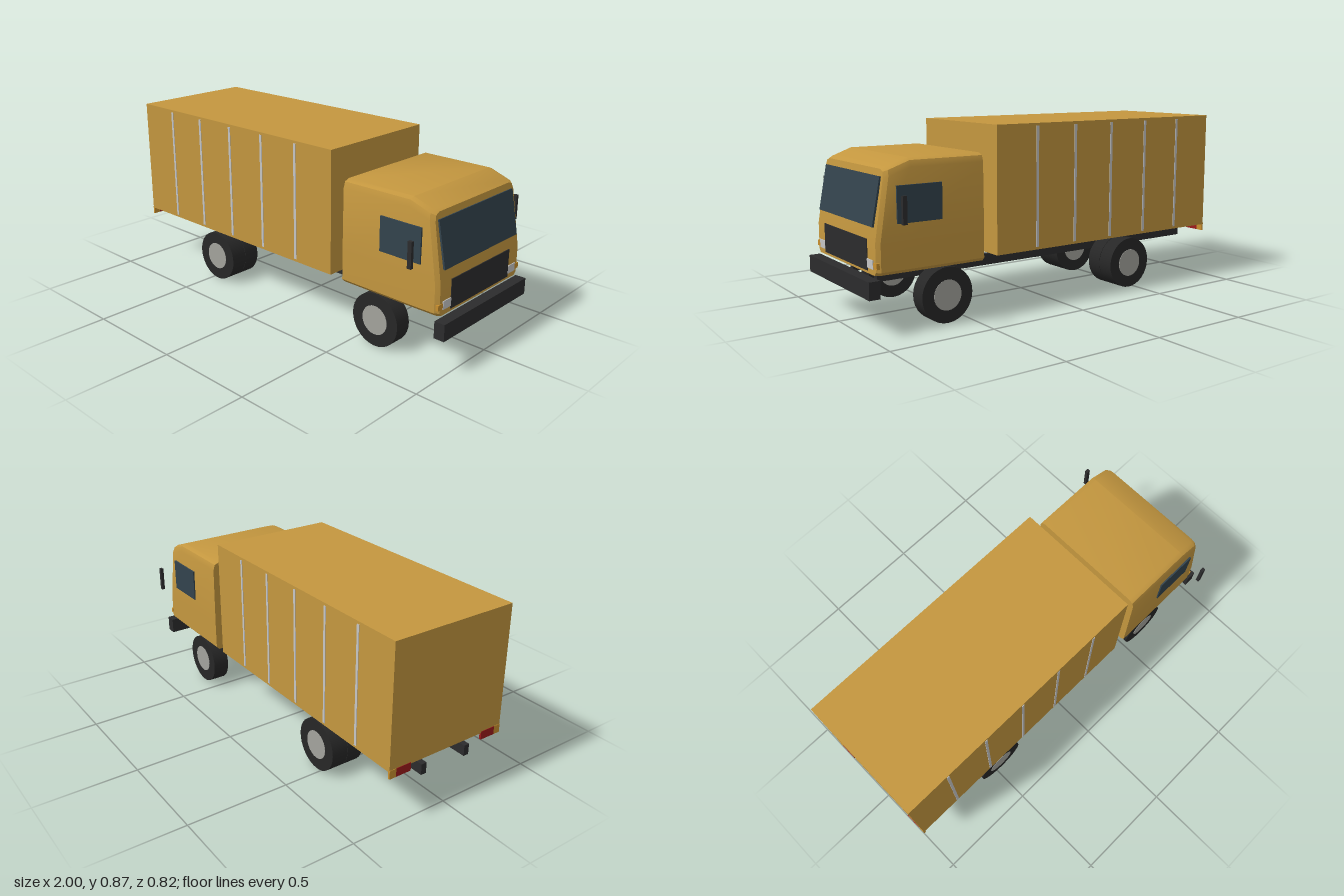
import * as THREE from 'three';
import { toCreasedNormals } from 'three/addons/utils/BufferGeometryUtils.js';

const mat = (name, color) => {
  const m = new THREE.MeshStandardMaterial({ color });
  m.name = name;
  return m;
};

export function createModel() {
  const truck = new THREE.Group();
  truck.name = 'boxTruck';
  const paint = mat('ochrePaint', 0xc4973f);
  const black = mat('blackTrim', 0x2c2c2d);
  const rubber = mat('tyreRubber', 0x272727);
  const glass = mat('darkGlass', 0x33434d);
  const silver = mat('silver', 0xc6c6c6);
  const hubGrey = mat('hubGrey', 0xa3a39d);
  const amber = mat('amberLens', 0xc98f2e);
  const red = mat('redLens', 0x9c1c1c);

  const add = (name, geometry, material, x = 0, y = 0, z = 0) => {
    const mesh = new THREE.Mesh(geometry, material);
    mesh.name = name;
    mesh.position.set(x, y, z);
    truck.add(mesh);
    return mesh;
  };
  // Box given by its limits on each axis
  const block = (name, material, [x0, x1], [y0, y1], [z0, z1]) =>
    add(name, new THREE.BoxGeometry(x1 - x0, y1 - y0, z1 - z0), material,
      (x0 + x1) / 2, (y0 + y1) / 2, (z0 + z1) / 2);
  // The same box on both sides of the truck
  const pair = (name, material, xs, ys, [z0, z1]) => {
    block(name + 'Left', material, xs, ys, [-z1, -z0]);
    block(name + 'Right', material, xs, ys, [z0, z1]);
  };

  // Cargo body with vertical side ribs
  block('cargoBox', paint, [-0.998, 0.36], [0.275, 0.87], [-0.32, 0.32]);
  for (let i = 0; i < 5; i++) {
    const x = -0.771 + i * 0.226;
    pair('sideRib', silver, [x - 0.007, x + 0.007], [0.288, 0.857], [0.317, 0.3225]);
  }

  // Cab
  add('cab', cabGeometry(), paint);
  const windscreen = add('windscreen', new THREE.BoxGeometry(0.009, 0.214, 0.56), glass, 0.935, 0.57, 0);
  windscreen.rotation.z = 0.19;
  pair('sideWindow', glass, [0.645, 0.862], [0.475, 0.637], [0.314, 0.3225]);
  pair('mirror', black, [0.86, 0.88], [0.485, 0.605], [0.394, 0.409]);

  // Nose details
  block('grille', black, [0.952, 0.96], [0.272, 0.408], [-0.225, 0.225]);
  pair('headlight', silver, [0.952, 0.961], [0.286, 0.325], [0.225, 0.282]);
  pair('indicator', amber, [0.945, 0.959], [0.29, 0.316], [0.282, 0.315]);
  block('bumper', black, [0.948, 1], [0.166, 0.245], [-0.322, 0.322]);

  // Chassis and tail lights
  pair('chassisRail', black, [-0.995, 0.875], [0.19, 0.243], [0.111, 0.139]);
  pair('tailLight', red, [-1, -0.99], [0.242, 0.283], [0.205, 0.285]);
  pair('tailIndicator', amber, [-1, -0.99], [0.242, 0.283], [0.285, 0.32]);

  // Wheels: single in front, doubled at the rear
  const tyre = new THREE.CylinderGeometry(0.128, 0.128, 0.084, 32).rotateX(Math.PI / 2);
  const hub = new THREE.CylinderGeometry(0.07, 0.07, 0.088, 24).rotateX(Math.PI / 2);
  for (const side of [-1, 1]) {
    for (const [x, z] of [[0.616, 0.265], [-0.468, 0.265], [-0.468, 0.179]]) {
      add('tyre', tyre, rubber, x, 0.128, side * z);
      add('wheelHub', hub, hubGrey, x, 0.128, side * z);
    }
  }
  return truck;
}

// Lofted cab: chamfered cross-sections, the last two following the raked nose
function cabGeometry() {
  const nose = (y) => (y <= 0.4 ? 0.957 : 0.957 - (0.05 * (y - 0.4)) / 0.305);
  const stations = [
    { x: () => 0.43, w: 0.318, top: 0.748 },
    { x: () => 0.79, w: 0.318, top: 0.748 },
    { x: (y) => nose(y) - 0.018, w: 0.316, top: 0.713 },
    { x: nose, w: 0.302, top: 0.705 },
  ];
  const rings = stations.map(({ x, w, top }) => {
    const half = [
      [w - 0.014, 0.26], [w, 0.275], [w, 0.4],
      [w - 0.004, top - 0.038], [w - 0.013, top - 0.01], [w - 0.036, top],
    ];
    const mirrored = half.map(([z, y]) => [-z, y]).reverse();
    return [...half, ...mirrored].map(([z, y]) => [x(y), y, z]);
  });
  const n = rings[0].length;
  const positions = [];
  const quad = (a, b, c, d) => positions.push(...a, ...b, ...c, ...a, ...c, ...d);
  for (let s = 0; s < rings.length - 1; s++) {
    for (let i = 0; i < n; i++) {
      const j = (i + 1) % n;
      quad(rings[s][i], rings[s + 1][i], rings[s + 1][j], rings[s][j]);
    }
  }
  // Front and rear faces, joined across from left to right
  const front = rings[rings.length - 1], rear = rings[0];
  for (let i = 0; i < n / 2 - 1; i++) {
    const k = n - 1 - i;
    quad(front[i], front[k], front[k - 1], front[i + 1]);
    quad(rear[k], rear[i], rear[i + 1], rear[k - 1]);
  }
  const geometry = new THREE.BufferGeometry();
  geometry.setAttribute('position', new THREE.Float32BufferAttribute(positions, 3));
  return toCreasedNormals(geometry, 0.5);
}
